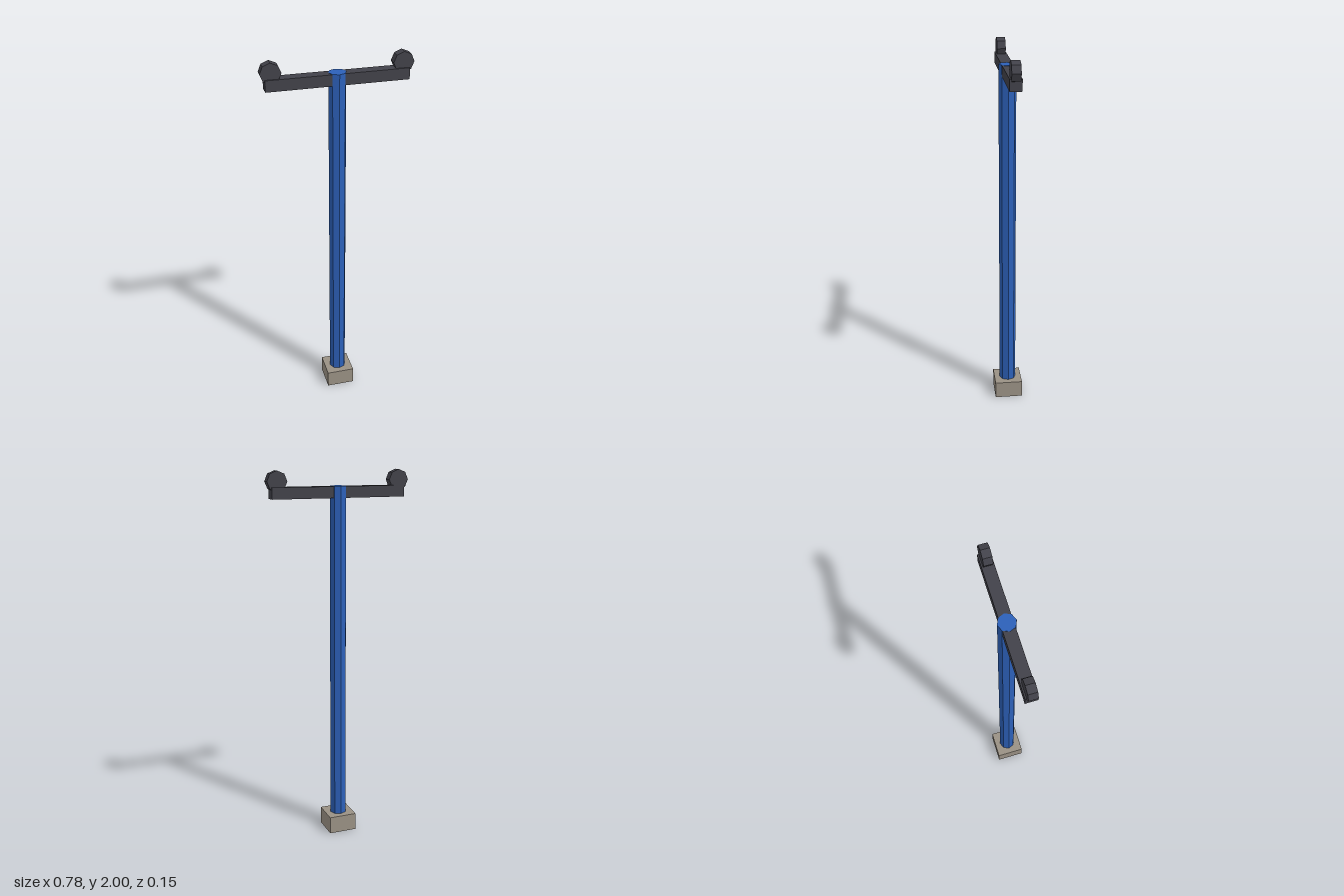
import * as THREE from 'three';

export function createModel() {
  const group = new THREE.Group();
  const material = (name, color) => {
    const m = new THREE.MeshStandardMaterial({ color, flatShading: true });
    m.name = name;
    return m;
  };
  const concrete = material('concrete', 0x9a9184);
  const blue = material('blue paint', 0x2c60b8);
  const dark = material('dark metal', 0x42424a);

  const add = (name, geometry, mat, x, y) => {
    const mesh = new THREE.Mesh(geometry, mat);
    mesh.name = name;
    mesh.position.set(x, y, 0);
    group.add(mesh);
    return mesh;
  };

  // square footing
  add('base', new THREE.BoxGeometry(0.153, 0.095, 0.153), concrete, 0, 0.0475);

  // octagonal pole, its cap just proud of the arm
  add('pole', new THREE.CylinderGeometry(0.0455, 0.0455, 1.84, 8), blue, 0, 0.999 - 0.001 + 0.001);

  // crossarm
  add('crossarm', new THREE.BoxGeometry(0.73, 0.059, 0.061), dark, 0, 1.8875);

  // octagonal wheels standing on the arm ends
  for (const [side, name] of [[1, 'leftWheel'], [-1, 'rightWheel']]) {
    const wheel = new THREE.CylinderGeometry(0.0535, 0.0535, 0.046, 8).rotateX(Math.PI / 2);
    add(name, wheel, dark, side * 0.335, 1.9465);
  }
  return group;
}
